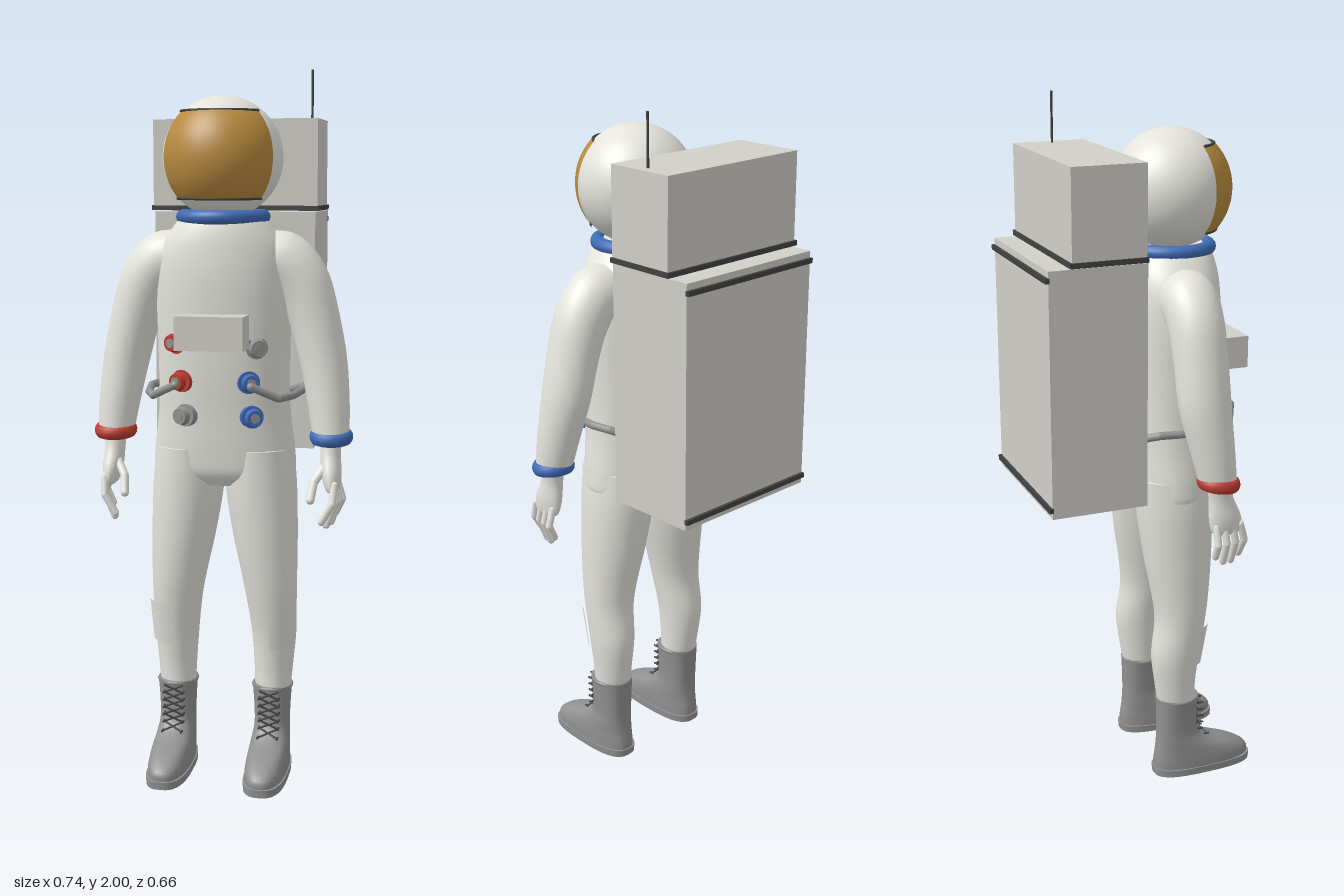
import * as THREE from 'three';

const mat = (name, color) => new THREE.MeshStandardMaterial({ name, color });
const V = (p) => new THREE.Vector3(...p);

// Smooth closed solid through sections [x, y, z, rx, rz, tilt], listed from top to bottom
function loft(sections, { steps = 5, sides = 36, power = 2 } = {}) {
  const centres = new THREE.CatmullRomCurve3(sections.map((s) => V(s.slice(0, 3))), false, 'catmullrom');
  const sizes = new THREE.CatmullRomCurve3(sections.map((s) => V([s[3], s[4], s[5] || 0])), false, 'catmullrom');
  const n = (sections.length - 1) * steps;
  const rows = [[0, 0], [0, 1]];
  for (let i = 0; i <= n; i++) rows.push([i / n, 1]);
  rows.push([1, 1], [1, 0]);
  const pos = [], idx = [];
  const bend = (v) => Math.sign(v) * Math.abs(v) ** (2 / power);
  rows.forEach(([t, k], i) => {
    const c = centres.getPoint(t), q = sizes.getPoint(t);
    for (let j = 0; j < sides; j++) {
      const a = (j / sides) * Math.PI * 2;
      const u = q.x * k * bend(Math.cos(a)), w = q.y * k * bend(Math.sin(a));
      pos.push(c.x + u * Math.cos(q.z), c.y + u * Math.sin(q.z), c.z + w);
      if (i < rows.length - 1) {
        const b = i * sides, m = (j + 1) % sides;
        idx.push(b + j, b + m, b + sides + j, b + m, b + sides + m, b + sides + j);
      }
    }
  });
  const g = new THREE.BufferGeometry();
  g.setAttribute('position', new THREE.Float32BufferAttribute(pos, 3));
  g.setIndex(idx);
  g.computeVertexNormals();
  return g;
}

export function createModel() {
  const root = new THREE.Group();
  const suit = mat('suit white', 0xe4e3dc);
  const packWhite = mat('pack white', 0xd0cfc8);
  const gold = mat('visor gold', 0xb98b3f);
  const blue = mat('blue trim', 0x3f6bb5);
  const red = mat('red trim', 0xbb3d30);
  const grey = mat('boot grey', 0x919191);
  const dark = mat('dark trim', 0x424242);

  const add = (name, geo, material, p = [0, 0, 0]) => {
    const m = new THREE.Mesh(geo, material);
    m.name = name;
    m.position.set(...p);
    root.add(m);
    return m;
  };
  const box = (name, w, h, d, material, p) => add(name, new THREE.BoxGeometry(w, h, d), material, p);
  const rod = (name, a, b, r, material, r2 = r, sides = 12) => {
    const d = V(b).sub(V(a));
    const m = add(name, new THREE.CylinderGeometry(r2, r, d.length(), sides), material);
    m.position.copy(V(a)).addScaledVector(d, 0.5);
    m.quaternion.setFromUnitVectors(new THREE.Vector3(0, 1, 0), d.normalize());
    return m;
  };
  const ball = (name, r, material, p) => add(name, new THREE.SphereGeometry(r, 12, 8), material, p);
  // Chain of rods with rounded joints
  const chain = (name, pts, r, material) => pts.forEach((p, i) => {
    ball(name + 'Joint', r, material, p);
    if (i) rod(name, pts[i - 1], p, r, material);
  });

  // Helmet, visor and neck ring
  const head = [0, 1.75, 0.115];
  add('helmet', new THREE.SphereGeometry(0.165, 48, 32), suit, head);
  const span = 1.15, top = 0.77, bottom = 2.28;
  const visor = add('visor', new THREE.SphereGeometry(0.171, 48, 24, Math.PI / 2 - span, span * 2, top, bottom - top), gold, head);
  visor.scale.x = 0.96;
  for (const a of [top, bottom]) {
    const rim = add('visorRim', new THREE.TorusGeometry(0.168 * Math.sin(a), 0.004, 8, 40, span * 2), dark,
      [0, head[1] + 0.17 * Math.cos(a), head[2]]);
    rim.rotation.set(Math.PI / 2, 0, Math.PI / 2 - span);
    rim.scale.x = 0.99;
  }
  add('neckRing', new THREE.TorusGeometry(0.11, 0.02, 14, 48), blue, [0, 1.59, 0.113]).rotation.x = Math.PI / 2;

  // Torso and hips
  add('torso', loft([
    [0, 1.6, 0.112, 0.105, 0.105], [0, 1.56, 0.11, 0.14, 0.122], [0, 1.5, 0.106, 0.175, 0.135],
    [0, 1.4, 0.104, 0.188, 0.14], [0, 1.2, 0.1, 0.185, 0.133], [0, 1.05, 0.094, 0.187, 0.125],
    [0, 0.94, 0.09, 0.2, 0.12], [0, 0.88, 0.088, 0.195, 0.112], [0, 0.845, 0.088, 0.12, 0.08],
  ], { power: 2.2, sides: 48 }), suit);

  // Chest control box
  box('chestBox', 0.186, 0.092, 0.11, packWhite, [0, 1.286, 0.265]);

  // Hose connectors
  for (const [x, y, m] of [[-0.105, 1.25, red], [-0.09, 1.145, red], [-0.08, 1.05, grey],
    [0.105, 1.24, grey], [0.085, 1.145, blue], [0.095, 1.05, blue]]) {
    const s = Math.sign(x), z = y > 1.2 ? 0.197 : 0.203;
    const at = (d) => [x + s * d * 0.45, y, z + d * 0.89];
    rod('connectorBase', at(-0.02), at(0.018), 0.031, m, 0.031, 24);
    rod('connectorNeck', at(0.018), at(0.026), 0.018, dark, 0.018, 24);
    rod('connectorCap', at(0.026), at(0.042), 0.026, m, 0.022, 24);
    rod('connectorCentre', at(0.042), at(0.045), 0.013, grey, 0.013, 16);
  }

  for (const s of [1, -1]) {
    const side = s > 0 ? 'left' : 'right';
    const mir = ([x, ...rest]) => [s * x, ...rest];
    const limb = (list) => list.map(([x, y, z, rx, rz, t = 0]) => [s * x, y, z, rx, rz, s * t]);

    // Arm and wrist ring
    add(side + 'Arm', loft(limb([
      [0.1, 1.47, 0.1, 0.085, 0.08, 1.45], [0.17, 1.465, 0.1, 0.084, 0.08, 1.15],
      [0.22, 1.41, 0.1, 0.078, 0.077, 0.65], [0.252, 1.32, 0.1, 0.07, 0.075, 0.3],
      [0.28, 1.2, 0.102, 0.065, 0.073, 0.16], [0.298, 1.08, 0.118, 0.058, 0.062, 0.1],
      [0.308, 0.98, 0.133, 0.05, 0.052, 0.08],
    ])), suit);
    const cuff = add(side + 'WristRing', new THREE.TorusGeometry(0.047, 0.0135, 12, 36), s > 0 ? blue : red,
      [s * 0.308, 0.99, 0.133]);
    cuff.rotation.set(Math.PI / 2 + 0.12, 0, 0);
    cuff.scale.z = 1.4;

    // Hand with thumb and four fingers
    add(side + 'Hand', loft(limb([
      [0.308, 0.98, 0.135, 0.03, 0.034], [0.308, 0.94, 0.142, 0.028, 0.036],
      [0.312, 0.89, 0.152, 0.028, 0.047], [0.316, 0.85, 0.157, 0.02, 0.046], [0.317, 0.838, 0.158, 0.01, 0.03],
    ])), suit);
    for (let i = 0; i < 4; i++) {
      const z = 0.122 + i * 0.024, drop = [0, 0.022, 0.026, 0.012][i];
      chain(side + 'Finger', [[0.325, 0.865, z], [0.34 - i * 0.006, 0.815, z + i * 0.005],
        [0.322 - i * 0.01, 0.775 - drop, z + i * 0.004]].map(mir), 0.0105, suit);
    }
    chain(side + 'Thumb', [[0.295, 0.91, 0.165], [0.268, 0.87, 0.192], [0.262, 0.825, 0.215]].map(mir), 0.012, suit);

    // Leg
    add(side + 'Leg', loft(limb([
      [0.1, 0.95, 0.09, 0.095, 0.115], [0.105, 0.84, 0.091, 0.101, 0.112], [0.118, 0.7, 0.096, 0.092, 0.1],
      [0.131, 0.58, 0.1, 0.079, 0.084], [0.138, 0.5, 0.097, 0.071, 0.075], [0.143, 0.4, 0.082, 0.063, 0.073],
      [0.142, 0.3, 0.082, 0.055, 0.062], [0.14, 0.22, 0.088, 0.05, 0.055],
    ])), suit);

    // Knee patch
    const patch = add(side + 'KneePatch', new THREE.CylinderGeometry(0.079, 0.071, 0.125, 20, 1, true,
      s > 0 ? 0.02 : -1.17, 1.15), suit, [s * 0.14, 0.44, 0.091]);
    patch.rotation.x = 0.1;
    patch.scale.z = 1.07;

    // Boot upper, sole and top band
    add(side + 'Boot', loft(limb([
      [0.14, 0.255, 0.09, 0.056, 0.062], [0.14, 0.2, 0.089, 0.052, 0.06], [0.14, 0.14, 0.092, 0.05, 0.062],
      [0.14, 0.105, 0.112, 0.053, 0.084], [0.14, 0.075, 0.148, 0.056, 0.124],
      [0.14, 0.045, 0.169, 0.058, 0.15], [0.14, 0.015, 0.171, 0.058, 0.153],
    ]), { power: 2.5 }), grey);
    add(side + 'Sole', loft(limb([
      [0.14, 0.022, 0.172, 0.061, 0.157], [0.14, 0, 0.172, 0.06, 0.156],
    ]), { power: 2.8, steps: 1 }), grey);
    const band = add(side + 'BootBand', new THREE.TorusGeometry(0.054, 0.006, 8, 36), grey, [s * 0.14, 0.25, 0.09]);
    band.rotation.x = Math.PI / 2;
    band.scale.y = 1.1;

    // Crossed laces
    for (let i = 0; i < 6; i++) {
      const y = 0.115 + i * 0.022, z = i === 0 ? 0.178 : 0.158;
      for (const k of [1, -1]) {
        rod('lace', [s * 0.14 - k * 0.028, y, z], [s * 0.14 + k * 0.028, y + 0.022, 0.156], 0.003, dark, 0.003, 6);
        rod('laceHook', [s * 0.14 + k * 0.028, y, 0.135], [s * 0.14 + k * 0.028, y, z + 0.008], 0.003, dark, 0.003, 6);
      }
    }

    // Hose from backpack around the waist
    chain(side + 'Hose', [[0.165, 1.09, -0.055], [0.21, 1.11, 0], [0.22, 1.11, 0.06], [0.205, 1.105, 0.15],
      [0.175, 1.105, 0.225], [0.105, 1.14, 0.262]].map(mir), 0.011, grey);
  }

  // Backpack with trim bars and antenna
  box('packBody', 0.466, 0.68, 0.275, packWhite, [0, 1.26, -0.1845]);
  box('packTop', 0.476, 0.25, 0.208, packWhite, [0, 1.735, -0.155]);
  box('packTopRim', 0.486, 0.014, 0.217, dark, [0, 1.61, -0.1565]);
  for (const y of [1.575, 0.945]) box('packBar', 0.468, 0.014, 0.012, dark, [0, y, -0.325]);
  rod('antenna', [0.207, 1.86, -0.155], [0.207, 2, -0.155], 0.0035, dark, 0.0035, 8);

  return root;
}
